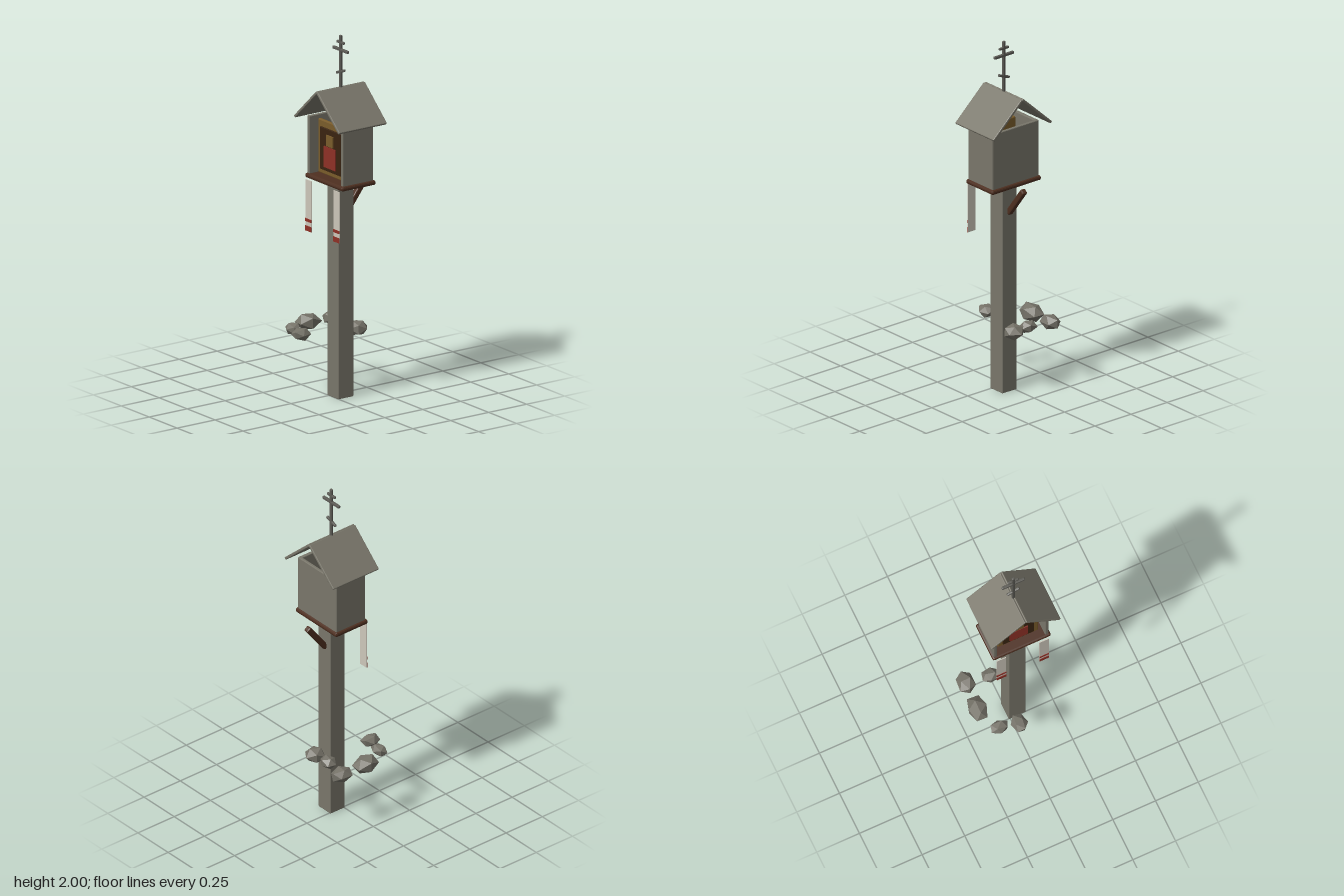
import * as THREE from 'three';
import { RoundedBoxGeometry } from 'three/addons/geometries/RoundedBoxGeometry.js';

const paint = (name, color) => {
  const m = new THREE.MeshStandardMaterial({ color });
  m.name = name;
  return m;
};

export function createModel() {
  const timber = paint('weathered timber', 0x79766a);
  const brown = paint('dark brown wood', 0x4e2f20);
  const gold = paint('old gold', 0x7a5c2a);
  const dark = paint('dark panel', 0x3a2411);
  const red = paint('red', 0x8f3026);
  const linen = paint('linen', 0xcdc7ba);
  const iron = paint('iron', 0x5c5b55);
  const stone = paint('stone', 0x757268);
  stone.flatShading = true;

  const model = new THREE.Group();
  model.name = 'waysideShrine';
  const CX = 0.04, CZ = -0.046; // axis of the post

  // Box with narrow flat chamfers
  function block(name, mat, size, pos, bevel = 0.004, parent = model) {
    const g = bevel
      ? new RoundedBoxGeometry(...size, 1, bevel)
      : new THREE.BoxGeometry(...size);
    if (bevel) g.computeVertexNormals();
    const mesh = new THREE.Mesh(g, mat);
    mesh.name = name;
    mesh.position.set(...pos);
    parent.add(mesh);
    return mesh;
  }

  // Post, shelf and rear brace
  block('post', timber, [0.1, 1.19, 0.1], [CX, 0.595, CZ]);
  block('shelf', brown, [0.34, 0.026, 0.222], [CX, 1.203, CZ], 0.01);
  const brace = block('brace', brown, [0.032, 0.205, 0.032], [CX, 1.108, -0.152], 0.007);
  brace.rotation.x = -0.65;

  // Open-fronted house
  const wallY = 1.374, wallH = 0.322;
  block('backWall', timber, [0.316, wallH, 0.018], [CX, wallY, -0.138]);
  for (const s of [-1, 1]) {
    block('sideWall', timber, [0.02, wallH, 0.2], [CX + s * 0.15, wallY, CZ]);
    const roof = block('roofPanel', timber, [0.27, 0.015, 0.316], [CX + s * 0.1, 1.619, CZ]);
    roof.rotation.z = -s * 0.74;
  }

  // Framed picture standing inside
  const icon = new THREE.Group();
  icon.name = 'framedPicture';
  icon.position.set(CX, 0, 0.005);
  model.add(icon);
  block('goldFrame', gold, [0.238, 0.298, 0.02], [0, 1.373, 0], 0.006, icon);
  block('darkPanel', dark, [0.184, 0.236, 0.01], [0, 1.367, 0.012], 0.004, icon);
  block('robe', red, [0.106, 0.116, 0.006], [0, 1.328, 0.019], 0, icon);
  block('face', gold, [0.058, 0.062, 0.006], [0, 1.422, 0.019], 0, icon);

  // Hanging towels with red bands on the front
  for (const s of [-1, 1]) {
    const x = CX + s * 0.125;
    block('towel', linen, [0.054, 0.282, 0.005], [x, 1.044, 0.07], 0);
    block('towelWideBand', red, [0.056, 0.028, 0.004], [x, 0.917, 0.0735], 0);
    block('towelNarrowBand', red, [0.056, 0.016, 0.004], [x, 0.963, 0.0735], 0);
  }

  // Ridge cross with three bars
  block('crossPole', iron, [0.017, 0.3, 0.015], [CX, 1.85, CZ - 0.002]);
  block('crossTopBar', iron, [0.064, 0.014, 0.014], [CX, 1.96, CZ - 0.002]);
  block('crossMainBar', iron, [0.134, 0.016, 0.016], [CX, 1.919, CZ - 0.002]);
  const slant = block('crossSlantBar', iron, [0.078, 0.014, 0.014], [CX, 1.798, CZ - 0.002]);
  slant.rotation.z = 0.36;

  // Ring of faceted stones: x, z, radius x, radius y, radius z
  let seed = 7;
  const rand = () => (seed = (seed * 16807) % 2147483647) / 2147483647;
  const stones = [
    [-0.185, -0.165, 0.05, 0.042, 0.066],
    [-0.19, 0.0, 0.056, 0.05, 0.076],
    [-0.13, 0.142, 0.055, 0.034, 0.039],
    [-0.025, 0.168, 0.047, 0.036, 0.056],
    [0.055, -0.148, 0.06, 0.045, 0.056],
    [-0.049, -0.143, 0.05, 0.036, 0.042],
  ];
  for (const [x, z, rx, ry, rz] of stones) {
    const g = new THREE.IcosahedronGeometry(1, 0);
    const p = g.attributes.position;
    const turn = rand() * 6.28;
    const scales = new Map();
    const v = new THREE.Vector3();
    for (let i = 0; i < p.count; i++) {
      v.fromBufferAttribute(p, i);
      const key = v.toArray().map((c) => Math.round(c * 100)).join();
      if (!scales.has(key)) scales.set(key, 0.9 + rand() * 0.22);
      v.multiplyScalar(scales.get(key)).applyAxisAngle(THREE.Object3D.DEFAULT_UP, turn);
      p.setXYZ(i, v.x * rx, v.y * ry, v.z * rz);
    }
    g.computeVertexNormals();
    const mesh = new THREE.Mesh(g, stone);
    mesh.name = 'stone';
    mesh.position.set(x, 0.365, z);
    model.add(mesh);
  }
  return model;
}
